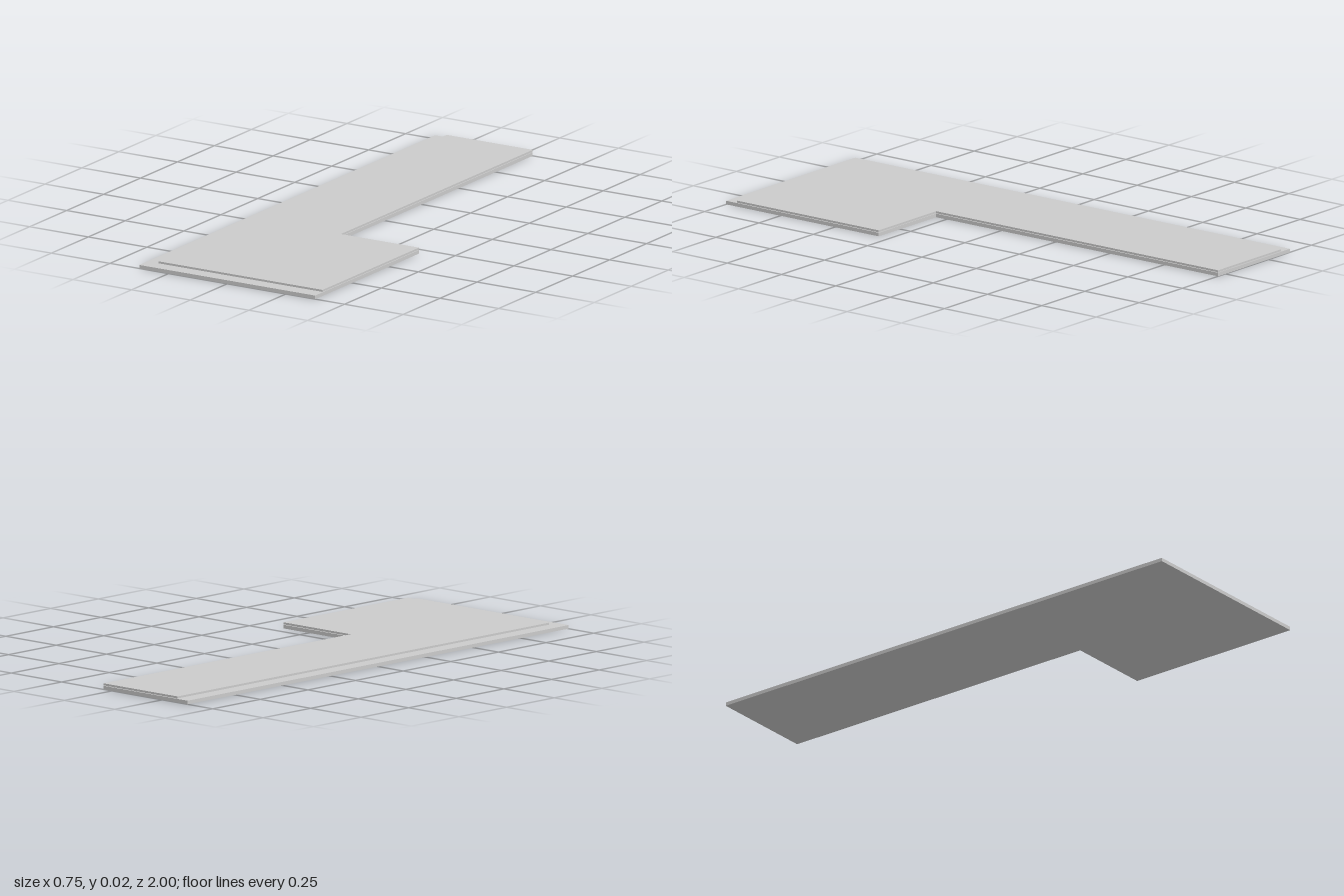
import * as THREE from 'three';

const BACK = -1, RIGHT = 0.375, NOTCH_X = 0.042, NOTCH_Z = 0.298;

// L-shaped slab; left and front are its two outer edges in x and z
function lSlab(name, left, front, bottom, top) {
  const outline = [
    [left, front], [RIGHT, front], [RIGHT, NOTCH_Z],
    [NOTCH_X, NOTCH_Z], [NOTCH_X, BACK], [left, BACK],
  ];
  const shape = new THREE.Shape(outline.map(([x, z]) => new THREE.Vector2(x, -z)));
  const geometry = new THREE.ExtrudeGeometry(shape, { depth: top - bottom, bevelEnabled: false });
  geometry.rotateX(-Math.PI / 2).translate(0, bottom, 0);
  const mesh = new THREE.Mesh(geometry, new THREE.MeshStandardMaterial({ color: 0xcccccc }));
  mesh.name = name;
  return mesh;
}

export function createModel() {
  const model = new THREE.Group();
  model.name = 'layeredSlab';
  // Lower slab, and a thinner one just above it, set back on the outer edges
  model.add(lSlab('baseSlab', -0.375, 1, 0, 0.0133));
  model.add(lSlab('topSlab', -0.325, 0.95, 0.015, 0.0225));
  return model;
}
